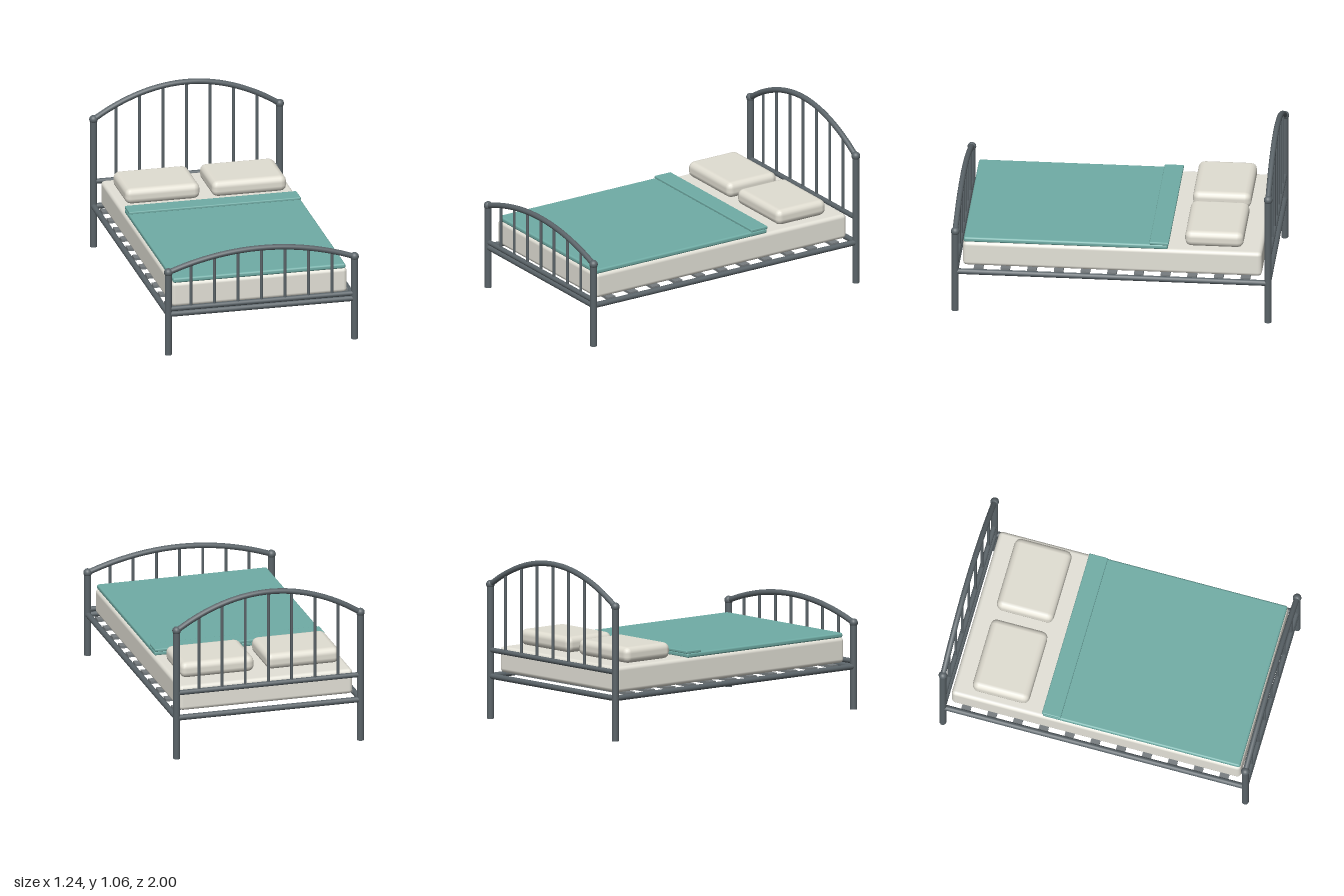
import * as THREE from 'three';
import { RoundedBoxGeometry } from 'three/addons/geometries/RoundedBoxGeometry.js';

const POST_X = 0.594, POST_Z = 0.973;

export function createModel() {
  const bed = new THREE.Group();
  bed.name = 'bed';
  const material = (name, color) => {
    const m = new THREE.MeshStandardMaterial({ color });
    m.name = name;
    return m;
  };
  const metal = material('dark metal', 0x5b6469);
  const slatGrey = material('slat grey', 0x777d80);
  const linen = material('cream linen', 0xe4e2d8);
  const pillowLinen = material('pillow linen', 0xe1ded2);
  const teal = material('teal fabric', 0x70ada6);

  const add = (parent, name, geometry, mat, x, y, z) => {
    const mesh = new THREE.Mesh(geometry, mat);
    mesh.name = name;
    mesh.position.set(x, y, z);
    parent.add(mesh);
    return mesh;
  };
  const upright = (parent, name, r, y0, y1, x) =>
    add(parent, name, new THREE.CylinderGeometry(r, r, y1 - y0, 16), metal, x, (y0 + y1) / 2, 0);
  const crossRail = (parent, name, r, y) => {
    add(parent, name, new THREE.CylinderGeometry(r, r, POST_X * 2, 16), metal, 0, y, 0).rotation.z = Math.PI / 2;
  };
  const softBox = (name, mat, radius, [x0, x1], [y0, y1], [z0, z1]) =>
    add(bed, name, new RoundedBoxGeometry(x1 - x0, y1 - y0, z1 - z0, 2, radius), mat,
      (x0 + x1) / 2, (y0 + y1) / 2, (z0 + z1) / 2);

  // Arched end: posts, ball joints, bowed top tube, spindles and rails
  const endFrame = (name, z, postTop, rise, spindleRail) => {
    const end = new THREE.Group();
    end.name = name;
    end.position.z = z;
    bed.add(end);
    const archY = x => postTop + rise * (1 - (x / POST_X) ** 2);
    for (const x of [-POST_X, POST_X]) {
      upright(end, 'post', 0.022, 0, postTop, x);
      add(end, 'postBall', new THREE.SphereGeometry(0.027, 16, 12), metal, x, postTop, 0);
    }
    const points = [];
    for (let i = 0; i <= 12; i++) {
      const x = -POST_X + POST_X * i / 6;
      points.push(new THREE.Vector3(x, archY(x), 0));
    }
    add(end, 'archTube', new THREE.TubeGeometry(new THREE.CatmullRomCurve3(points), 36, 0.0175, 12), metal, 0, 0, 0);
    for (let i = -3; i <= 3; i++) upright(end, 'spindle', 0.009, spindleRail, archY(i * 0.15), i * 0.15);
    crossRail(end, 'spindleRail', 0.016, spindleRail);
    crossRail(end, 'endRail', 0.018, 0.267);
  };
  endFrame('headboard', -POST_Z, 0.842, 0.196, 0.431);
  endFrame('footboard', POST_Z, 0.543, 0.11, 0.301);

  // Side rails and slats
  for (const x of [-POST_X, POST_X]) {
    add(bed, 'sideRail', new THREE.CylinderGeometry(0.018, 0.018, POST_Z * 2, 16), metal, x, 0.268, 0)
      .rotation.x = Math.PI / 2;
  }
  for (let i = -5; i <= 5; i++) {
    add(bed, 'slat', new THREE.BoxGeometry(POST_X * 2 - 0.03, 0.016, 0.058), slatGrey, 0, 0.282, i * 0.166);
  }

  // Bedding
  softBox('mattress', linen, 0.025, [-0.56, 0.56], [0.291, 0.453], [-0.93, 0.93]);
  softBox('blanket', teal, 0.012, [-0.55, 0.55], [0.448, 0.48], [-0.345, 0.925]);
  softBox('blanketFold', teal, 0.006, [-0.548, 0.548], [0.476, 0.495], [-0.35, -0.23]);
  for (const s of [-1, 1]) {
    softBox('pillow', pillowLinen, 0.04, s < 0 ? [-0.515, -0.038] : [0.038, 0.515], [0.455, 0.557], [-0.812, -0.447]);
  }
  return bed;
}
